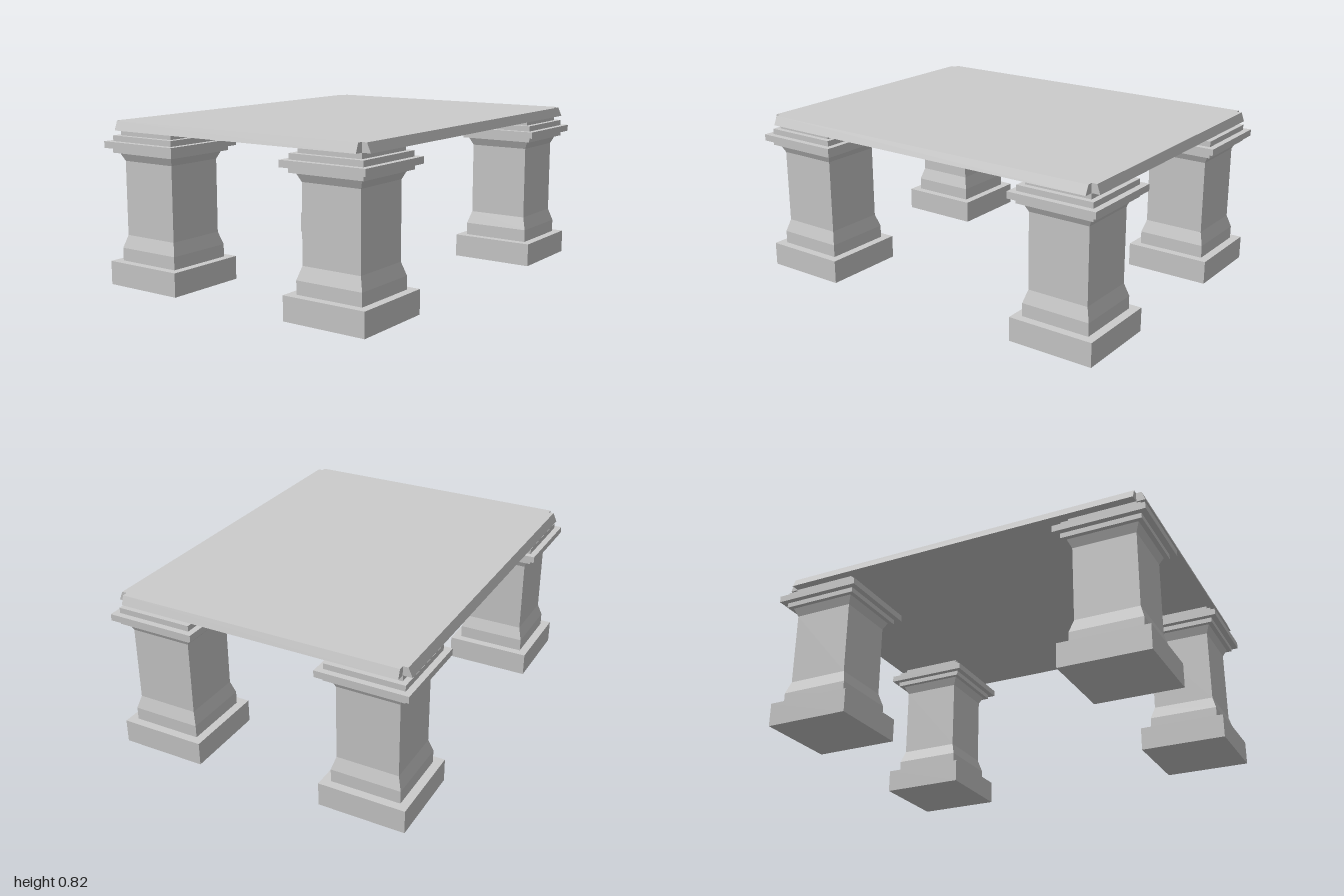
import * as THREE from 'three';

const material = new THREE.MeshStandardMaterial({ color: 0xcccccc, flatShading: true });

// Square moulding from [half width, height] pairs, listed bottom to top
function squareMoulding(name, steps) {
  const points = [[0, steps[0][1]], ...steps, [0, steps[steps.length - 1][1]]]
    .map(([half, y]) => new THREE.Vector2(half * Math.SQRT2, y));
  const mesh = new THREE.Mesh(new THREE.LatheGeometry(points, 4, Math.PI / 4), material);
  mesh.name = name;
  return mesh;
}

function createPillar() {
  const pillar = new THREE.Group();
  pillar.add(
    squareMoulding('base', [[0.22, 0], [0.22, 0.12]]),
    squareMoulding('shaft', [
      [0.177, 0.12], [0.177, 0.185], [0.157, 0.25], [0.157, 0.625], [0.176, 0.667],
    ]),
    squareMoulding('capital', [
      [0.199, 0.667], [0.199, 0.692], [0.228, 0.692], [0.228, 0.725],
      [0.197, 0.725], [0.197, 0.753], [0.17, 0.753], [0.17, 0.78],
    ]),
  );
  return pillar;
}

// Slab with notched corners; its sides slope outward towards the underside
function createTabletop() {
  const [innerX, innerZ, topX, topZ] = [0.72, 0.94, 0.746, 0.967];
  const [flareX, flareZ] = [0.766 / topX, 0.983 / topZ];
  const corner = [[topX, innerZ], [innerX, innerZ], [innerX, topZ]];
  const mirrored = (sx, sz, list) => list.map(([x, z]) => new THREE.Vector2(x * sx, z * sz));
  const reversed = [...corner].reverse();
  const shape = new THREE.Shape([
    ...mirrored(1, 1, corner), ...mirrored(-1, 1, reversed),
    ...mirrored(-1, -1, corner), ...mirrored(1, -1, reversed),
  ]);
  const geometry = new THREE.ExtrudeGeometry(shape, { depth: 0.045, bevelEnabled: false });
  geometry.rotateX(-Math.PI / 2);
  const p = geometry.attributes.position;
  for (let i = 0; i < p.count; i++) {
    if (p.getY(i) > 0.02) continue;
    if (Math.abs(p.getX(i)) > innerX + 0.01) p.setX(i, p.getX(i) * flareX);
    if (Math.abs(p.getZ(i)) > innerZ + 0.01) p.setZ(i, p.getZ(i) * flareZ);
  }
  geometry.computeVertexNormals();
  const mesh = new THREE.Mesh(geometry, material);
  mesh.name = 'tabletop';
  mesh.position.y = 0.78;
  return mesh;
}

export function createModel() {
  const model = new THREE.Group();
  model.name = 'table';
  model.add(createTabletop());

  // One pillar under each corner
  for (const [sx, side] of [[1, 'Left'], [-1, 'Right']]) {
    for (const [sz, end] of [[1, 'front'], [-1, 'back']]) {
      const pillar = createPillar();
      pillar.name = `${end}${side}Pillar`;
      pillar.position.set(sx * 0.552, 0, sz * 0.772);
      model.add(pillar);
    }
  }
  return model;
}
